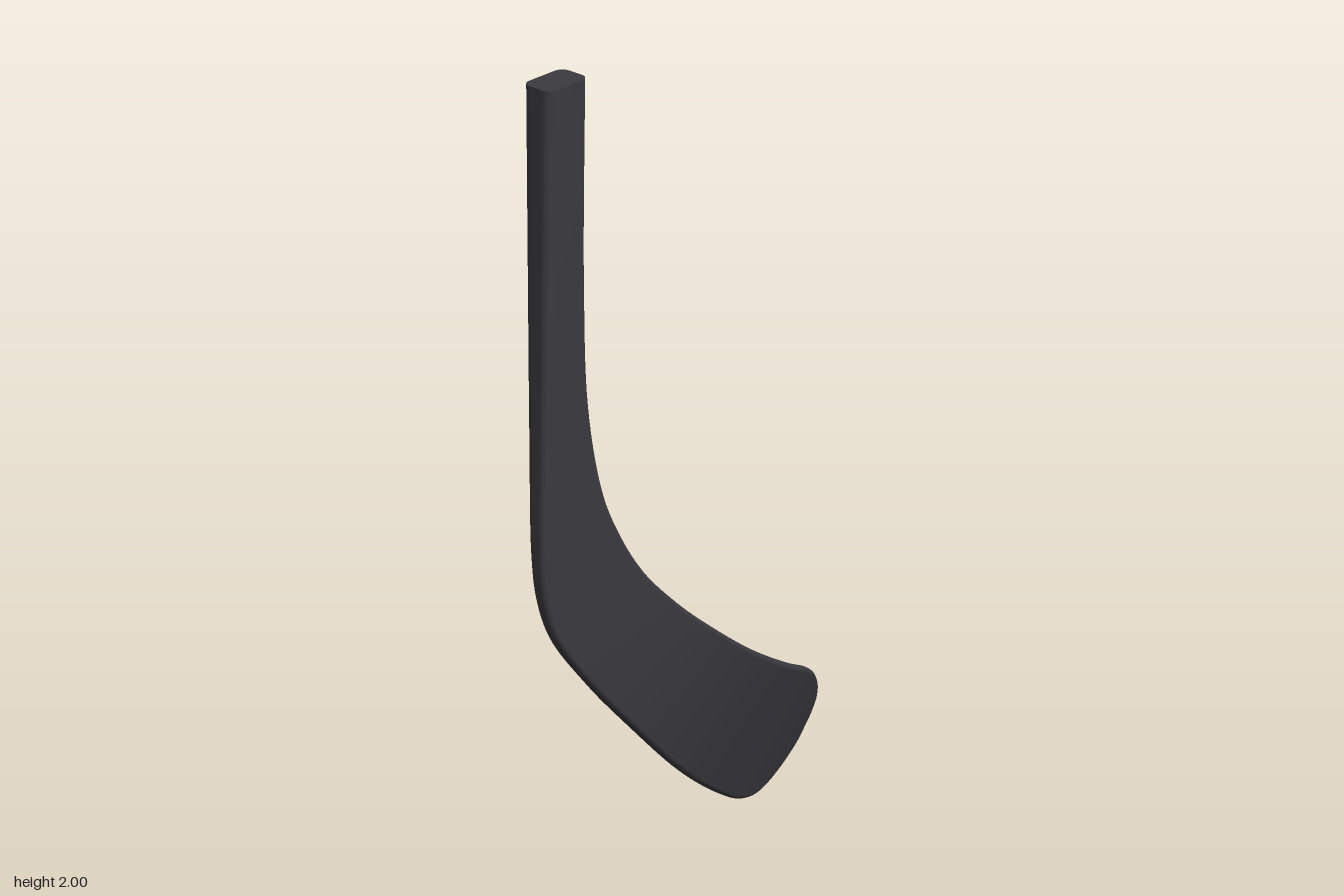
import * as THREE from 'three';

// Stations from the shaft top to the blade toe:
// [outer edge x, y, z,  inner edge x, y, z,  half thickness]
const STATIONS = [
  [-0.54, 2.0, 0.082, -0.41, 2.0, 0.082, 0.042],
  [-0.54, 1.5, 0.082, -0.408, 1.5, 0.082, 0.034],
  [-0.54, 1.15, 0.082, -0.39, 1.2, 0.082, 0.028],
  [-0.538, 0.87, 0.082, -0.34, 0.985, 0.082, 0.022],
  [-0.525, 0.765, 0.082, -0.285, 0.87, 0.082, 0.019],
  [-0.485, 0.665, 0.08, -0.2, 0.748, 0.082, 0.016],
  [-0.36, 0.515, 0.073, -0.08, 0.633, 0.08, 0.015],
  [-0.2, 0.36, 0.056, 0.05, 0.533, 0.071, 0.014],
  [0.0, 0.19, 0.012, 0.2, 0.432, 0.044, 0.013],
  [0.2, 0.06, -0.055, 0.37, 0.337, -0.002, 0.012],
  [0.3, 0.012, -0.086, 0.455, 0.296, -0.03, 0.012],
  [0.37, 0.003, -0.104, 0.5, 0.265, -0.05, 0.012],
  [0.44, 0.03, -0.113, 0.527, 0.23, -0.066, 0.011],
  [0.495, 0.08, -0.108, 0.538, 0.195, -0.08, 0.01],
  [0.525, 0.125, -0.1, 0.536, 0.155, -0.092, 0.007],
];
const STEPS = 8;   // rings between stations
const ARC = 6;     // segments per rounded corner

// Rounded-rectangle outline, counter-clockwise, as [u, n] pairs
function roundedSection(halfW, halfT, r) {
  const pts = [];
  [[1, 1], [-1, 1], [-1, -1], [1, -1]].forEach(([su, sn], q) => {
    for (let k = 0; k <= ARC; k++) {
      const a = (q + k / ARC) * Math.PI / 2;
      pts.push([su * (halfW - r) + r * Math.cos(a), sn * (halfT - r) + r * Math.sin(a)]);
    }
  });
  return pts;
}

// Builds one ring of 3D points at station parameter s
function makeRing(outer, inner, s) {
  const last = STATIONS.length - 1;
  const a = outer.getPoint(s / last), b = inner.getPoint(s / last);
  const i = Math.min(Math.floor(s), last - 1);
  let halfT = THREE.MathUtils.lerp(STATIONS[i][6], STATIONS[i + 1][6], s - i);
  const mid = a.clone().add(b).multiplyScalar(0.5);
  const u = b.clone().sub(a);
  const halfW = u.length() / 2;
  u.normalize();
  const n = new THREE.Vector3(0, 0, 1).addScaledVector(u, -u.z).normalize();
  halfT = Math.min(halfT, halfW);
  // squarer corners on the shaft, fuller rounding on the blade
  const round = THREE.MathUtils.lerp(0.55, 0.92, THREE.MathUtils.smoothstep(s, 1, 8));
  return roundedSection(halfW, halfT, halfT * round).map(([pu, pn]) =>
    mid.clone().addScaledVector(u, pu).addScaledVector(n, pn));
}

// Flat fan closing a ring
function capGeometry(ring, flip) {
  const centre = ring.reduce((sum, p) => sum.add(p), new THREE.Vector3()).divideScalar(ring.length);
  const pts = [];
  ring.forEach((p, j) => {
    const q = ring[(j + 1) % ring.length];
    pts.push(centre, ...(flip ? [q, p] : [p, q]));
  });
  const geo = new THREE.BufferGeometry().setFromPoints(pts);
  geo.computeVertexNormals();
  return geo;
}

// Smooth skin running through all rings
function skinGeometry(rings) {
  const m = rings[0].length, index = [];
  for (let i = 0; i < rings.length - 1; i++) {
    for (let j = 0; j < m; j++) {
      const k = (j + 1) % m;
      const a = i * m + j, b = i * m + k, c = a + m, d = b + m;
      index.push(a, b, c, b, d, c);
    }
  }
  const geo = new THREE.BufferGeometry().setFromPoints(rings.flat());
  geo.setIndex(index);
  geo.computeVertexNormals();
  return geo;
}

export function createModel() {
  const group = new THREE.Group();
  group.name = 'hockeyStickBlade';
  const material = new THREE.MeshStandardMaterial({ color: 0x3b3b40 });

  const edge = (o) => new THREE.CatmullRomCurve3(
    STATIONS.map((s) => new THREE.Vector3(s[o], s[o + 1], s[o + 2])));
  const outer = edge(0), inner = edge(3);

  const rings = [];
  const count = (STATIONS.length - 1) * STEPS;
  for (let i = 0; i <= count; i++) rings.push(makeRing(outer, inner, i / STEPS));

  const add = (name, geometry) => {
    const mesh = new THREE.Mesh(geometry, material);
    mesh.name = name;
    group.add(mesh);
  };
  add('shaftAndBlade', skinGeometry(rings));
  add('shaftTop', capGeometry(rings[0], true));
  add('bladeToe', capGeometry(rings[count], false));
  return group;
}
